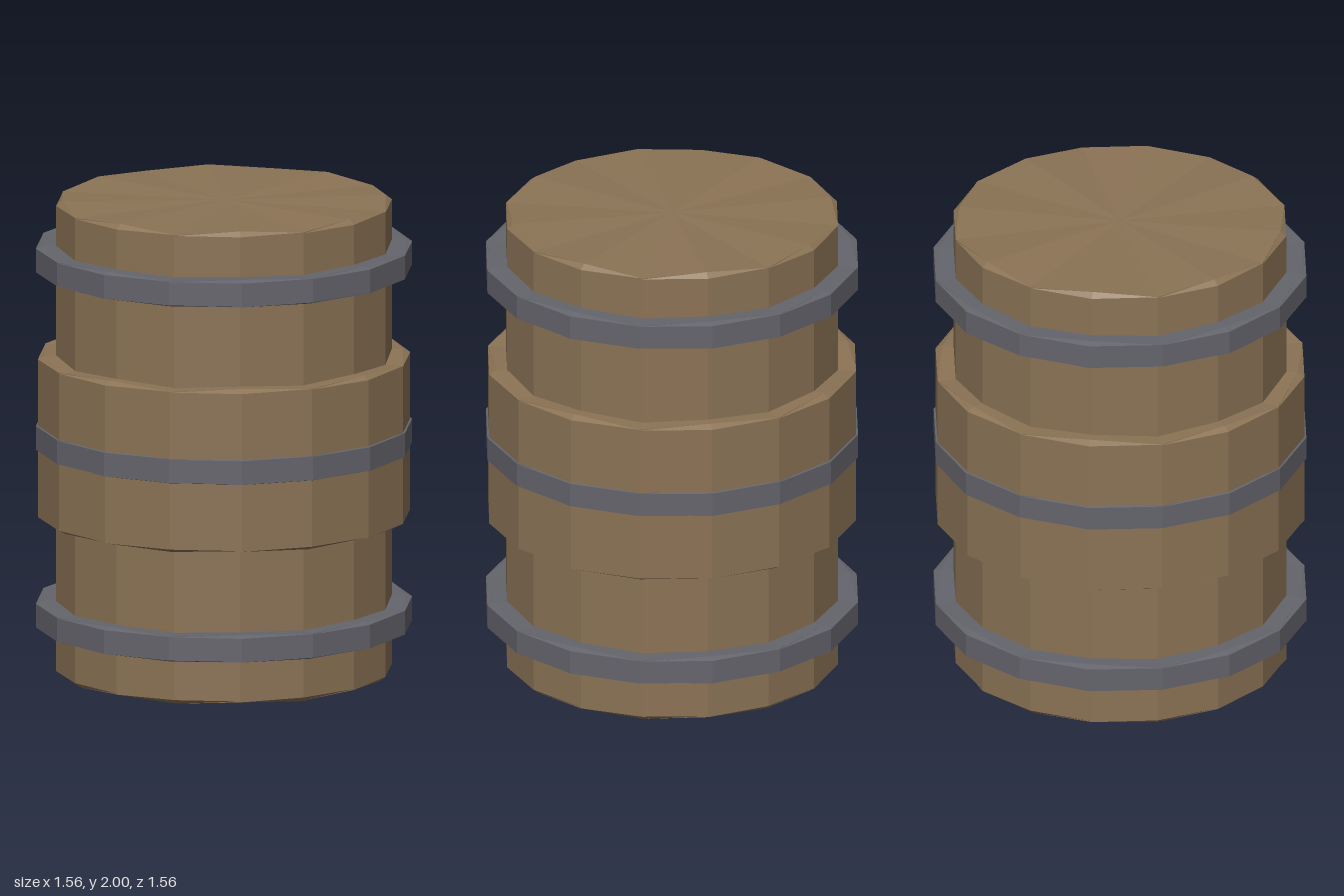
import * as THREE from 'three';

const SIDES = 16;
const wood = new THREE.MeshStandardMaterial({ color: 0x8b7355, flatShading: true });
const iron = new THREE.MeshStandardMaterial({ color: 0x64646c, flatShading: true });

// One cross-section; the rule gives [radius, height] for even and odd corners.
function ring(rule) {
  return Array.from({ length: SIDES }, (_, i) => {
    const [r, y] = rule(i % 2 === 0);
    const a = (i / SIDES) * Math.PI * 2;
    return new THREE.Vector3(r * Math.sin(a), y, r * Math.cos(a));
  });
}

// Closed drum whose rim is chipped at every other corner: even on top, odd below.
function drum(name, material, radius, y0, y1, chip, drop) {
  const rings = [
    ring((even) => (even ? [radius, y0 + drop * 0.8] : [radius - chip, y0])),
    ring(() => [radius, y0 + drop]),
    ring(() => [radius, y1 - drop]),
    ring((even) => (even ? [radius - chip, y1] : [radius, y1 - drop * 0.8])),
  ];
  const points = [];
  const tri = (a, b, c) => points.push(...a.toArray(), ...b.toArray(), ...c.toArray());
  const bottom = new THREE.Vector3(0, y0 + drop * 0.4, 0);
  const top = new THREE.Vector3(0, y1 - drop * 0.4, 0);
  for (let i = 0; i < SIDES; i++) {
    const j = (i + 1) % SIDES;
    for (let k = 0; k < 3; k++) {
      const [lo, hi] = [rings[k], rings[k + 1]];
      tri(lo[i], lo[j], hi[j]);
      tri(lo[i], hi[j], hi[i]);
    }
    tri(bottom, rings[0][j], rings[0][i]);
    tri(top, rings[3][i], rings[3][j]);
  }
  const geometry = new THREE.BufferGeometry();
  geometry.setAttribute('position', new THREE.Float32BufferAttribute(points, 3));
  geometry.computeVertexNormals();
  const mesh = new THREE.Mesh(geometry, material);
  mesh.name = name;
  return mesh;
}

export function createModel() {
  const barrel = new THREE.Group();
  barrel.name = 'barrel';

  // Wooden body with a wider belly
  barrel.add(drum('body', wood, 0.697, 0, 2, 0.025, 0.02));
  barrel.add(drum('belly', wood, 0.773, 0.655, 1.35, 0.03, 0.016));

  // Iron hoops
  const hoops = { lowerHoop: 0.253, middleHoop: 1.003, upperHoop: 1.753 };
  for (const [name, y] of Object.entries(hoops)) {
    barrel.add(drum(name, iron, 0.781, y - 0.059, y + 0.059, 0.03, 0.01));
  }
  return barrel;
}
